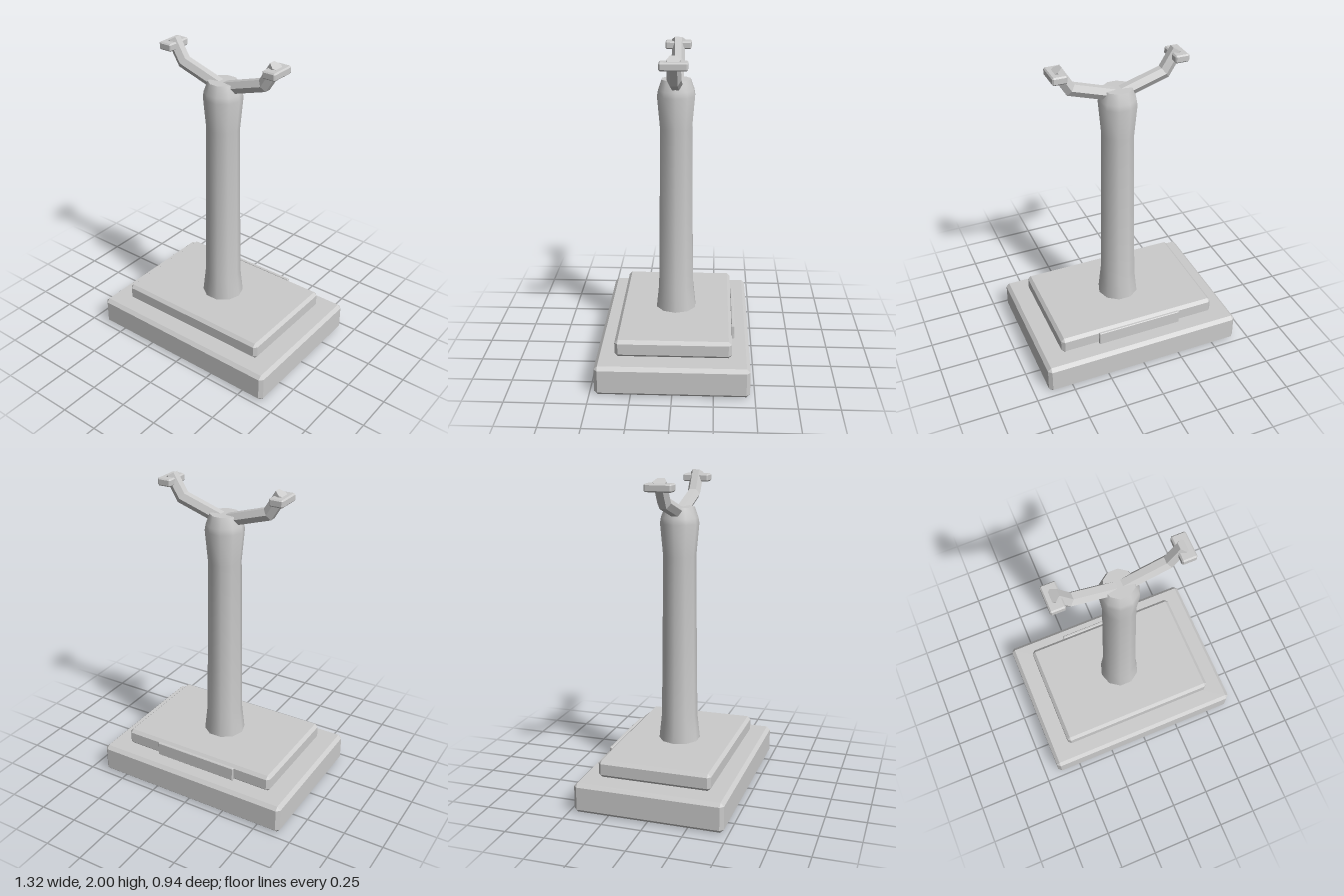
import * as THREE from 'three';
import { ConvexGeometry } from 'three/addons/geometries/ConvexGeometry.js';
import { toCreasedNormals } from 'three/addons/utils/BufferGeometryUtils.js';

const smooth = new THREE.MeshStandardMaterial({ color: 0xcccccc, side: THREE.DoubleSide });
const flat = new THREE.MeshStandardMaterial({ color: 0xcccccc, flatShading: true, side: THREE.DoubleSide });

// Box with chamfered edges; openBottom leaves out the underside
function chamferBox(w, h, d, b, openBottom = false) {
  const x = w / 2, y = h / 2, z = d / 2, pts = [];
  for (const i of [-1, 1]) for (const j of [-1, 1]) for (const k of [-1, 1]) {
    pts.push(
      new THREE.Vector3(i * x, j * (y - b), k * (z - b)),
      new THREE.Vector3(i * (x - b), j * y, k * (z - b)),
      new THREE.Vector3(i * (x - b), j * (y - b), k * z)
    );
  }
  const geo = new ConvexGeometry(pts);
  if (!openBottom) return geo;
  const p = geo.attributes.position, kept = [];
  for (let t = 0; t < p.count; t += 3) {
    const isFloor = [0, 1, 2].every((c) => p.getY(t + c) < -y + 1e-5);
    if (!isFloor) for (let c = 0; c < 3; c++) kept.push(p.getX(t + c), p.getY(t + c), p.getZ(t + c));
  }
  const open = new THREE.BufferGeometry();
  open.setAttribute('position', new THREE.Float32BufferAttribute(kept, 3));
  open.computeVertexNormals();
  return open;
}

// Hexagonal bar swept along a bent path in the xy plane, with mitred bends and closed ends
function bentBar(path, r, sides = 6) {
  const pos = [], idx = [], last = path.length - 1;
  path.forEach((p, i) => {
    const before = path[Math.max(i, 1)].clone().sub(path[Math.max(i, 1) - 1]).normalize();
    const next = Math.min(i, last - 1);
    const after = path[next + 1].clone().sub(path[next]).normalize();
    const dir = before.clone().add(after).normalize();
    const stretch = 1 / dir.dot(before);
    for (let s = 0; s < sides; s++) {
      const a = (s / sides) * Math.PI * 2;
      const n = Math.sin(a) * r * stretch;
      pos.push(p.x - dir.y * n, p.y + dir.x * n, Math.cos(a) * r);
    }
  });
  for (let i = 0; i < last; i++) for (let s = 0; s < sides; s++) {
    const a = i * sides + s, b = i * sides + ((s + 1) % sides);
    idx.push(a, a + sides, b, b, a + sides, b + sides);
  }
  for (let s = 1; s < sides - 1; s++) {
    idx.push(0, s, s + 1);
    idx.push(last * sides, last * sides + s + 1, last * sides + s);
  }
  const geo = new THREE.BufferGeometry();
  geo.setAttribute('position', new THREE.Float32BufferAttribute(pos, 3));
  geo.setIndex(idx);
  geo.computeVertexNormals();
  return geo;
}

export function createModel() {
  const model = new THREE.Group();
  model.name = 'stand';
  const add = (name, geo, mat, x = 0, y = 0, z = 0) => {
    const mesh = new THREE.Mesh(geo, mat);
    mesh.name = name;
    mesh.position.set(x, y, z);
    model.add(mesh);
    return mesh;
  };

  // Stepped base, hollow underneath, with a plate on the back
  add('lowerBase', chamferBox(1.315, 0.19, 0.94, 0.022, true), flat, 0, 0.095, 0);
  add('upperBase', chamferBox(1.055, 0.11, 0.715, 0.02), flat, 0, 0.245, -0.002);
  add('backPlate', chamferBox(0.56, 0.09, 0.02, 0.004), flat, 0, 0.245, -0.369);

  // Ten-sided column with a flared foot and a swollen head
  const profile = [
    [0.132, 0.3], [0.115, 0.46], [0.109, 0.9], [0.103, 1.5],
    [0.121, 1.7], [0.115, 1.735], [0.092, 1.8], [0, 1.8]
  ].map(([r, y]) => new THREE.Vector2(r, y));
  const column = new THREE.LatheGeometry(profile, 10, Math.PI / 2);
  add('column', toCreasedNormals(column, 0.7), smooth);

  // Two bent arms, each ending in a rest pad
  for (const side of [1, -1]) {
    const label = side > 0 ? 'left' : 'right';
    const path = [[0, 1.757], [0.295, 1.85], [0.375, 1.98]].map(([x, y]) => new THREE.Vector2(x, y));
    const arm = bentBar(path, 0.042);
    if (side < 0) arm.rotateY(Math.PI);
    add(label + 'Arm', arm, flat);
    add(label + 'RestPad', chamferBox(0.09, 0.048, 0.166, 0.008), flat, side * 0.376, 1.947, 0);
  }
  return model;
}
